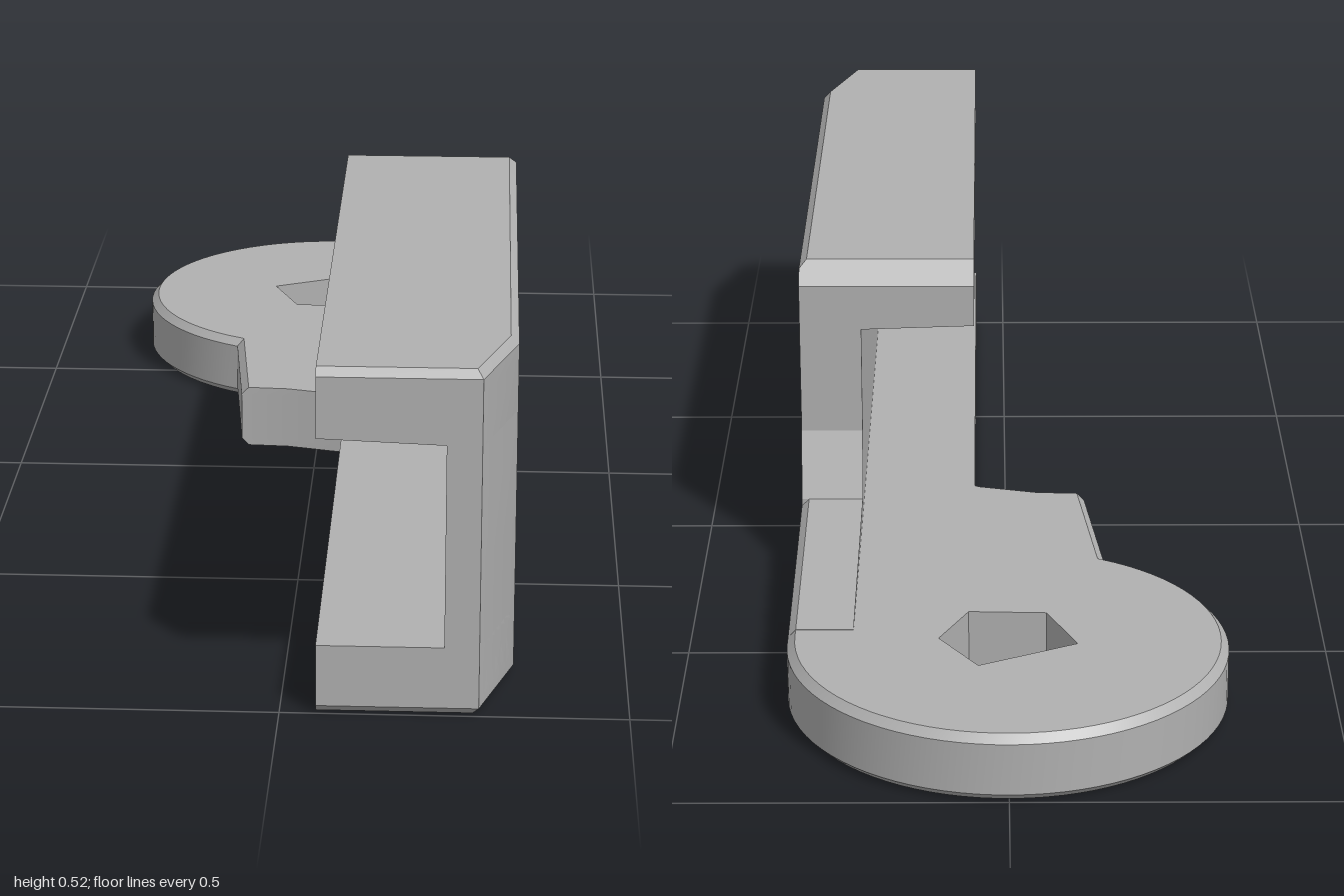
import * as THREE from 'three';
import { toCreasedNormals } from 'three/addons/utils/BufferGeometryUtils.js';

// Solid lofted through rings of [x, y, z] points, counterclockwise seen from above.
// An optional clockwise hole of [x, z] points runs straight through.
function loft(rings, hole = []) {
  const pos = [];
  const tri = (...pts) => pts.forEach((p) => pos.push(...p));
  const sides = (lower, upper) => lower.forEach((a, i) => {
    const j = (i + 1) % lower.length;
    tri(a, lower[j], upper[j]);
    tri(a, upper[j], upper[i]);
  });
  const holeAt = (ring) => hole.map(([x, z]) => [x, ring[0][1], z]);
  const cap = (ring, up) => {
    const flat = (pts) => pts.map(([x, , z]) => new THREE.Vector2(x, -z));
    const inner = holeAt(ring), all = [...ring, ...inner];
    const faces = THREE.ShapeUtils.triangulateShape(flat(ring), hole.length ? [flat(inner)] : []);
    for (const [a, b, c] of faces) {
      if (up) tri(all[a], all[b], all[c]);
      else tri(all[c], all[b], all[a]);
    }
  };
  for (let k = 0; k < rings.length - 1; k++) sides(rings[k], rings[k + 1]);
  const last = rings[rings.length - 1];
  if (hole.length) sides(holeAt(rings[0]), holeAt(last));
  cap(rings[0], false);
  cap(last, true);
  const geo = new THREE.BufferGeometry();
  geo.setAttribute('position', new THREE.Float32BufferAttribute(pos, 3));
  return toCreasedNormals(geo, 0.35);
}

// Moves each edge of an [x, z] outline inwards by its own distance
function inset(outline, dist) {
  const n = outline.length;
  const edges = outline.map(([x, z], i) => {
    const [x2, z2] = outline[(i + 1) % n];
    const dx = x2 - x, dz = z2 - z, len = Math.hypot(dx, dz);
    const nx = dz / len, nz = -dx / len;
    return { nx, nz, c: nx * x + nz * z + dist(i) };
  });
  return outline.map((p, i) => {
    const a = edges[(i + n - 1) % n], b = edges[i];
    const det = a.nx * b.nz - a.nz * b.nx;
    if (Math.abs(det) < 0.02) return [p[0] + b.nx * dist(i), p[1] + b.nz * dist(i)];
    return [(a.c * b.nz - b.c * a.nz) / det, (a.nx * b.c - b.nx * a.c) / det];
  });
}

const atHeight = (outline, y) => outline.map(([x, z]) => [x, y, z]);

export function createModel() {
  const metal = new THREE.MeshStandardMaterial({ color: 0xb0b0b0 });
  metal.name = 'plain grey';
  const group = new THREE.Group();
  group.name = 'bracket';
  const add = (name, geometry) => {
    const mesh = new THREE.Mesh(geometry, metal);
    mesh.name = name;
    group.add(mesh);
  };
  const B = 0.012; // edge bevel
  const L = 0.052, W = 0.235, R = 0.335; // flange edge, inner wall, outer wall

  // Base plate: long flange, round eye and short neck
  const outline = [[L, 1], [0.285, 1], [R, 0.84]];
  const steps = 56;
  for (let i = 0; i <= steps; i++) {
    const t = (i / steps) * THREE.MathUtils.degToRad(242.3);
    outline.push([R * Math.cos(t), -0.665 - R * Math.sin(t)]);
  }
  const neck = outline.length - 1; // edge from the eye to the neck corner
  outline.push([-0.13, -0.11], [-0.05, -0.105], [0.045, -0.08], [L, -0.075]);
  const bottom = inset(outline, (i) => (i <= neck ? B : 0));
  const top = inset(outline, (i) => (i >= 2 && i <= neck ? B : 0));
  const hole = [[0.045, -0.765], [0.105, -0.67], [0.06, -0.575], [-0.06, -0.58], [-0.105, -0.69]];
  add('basePlate', loft([
    atHeight(bottom, 0), atHeight(outline, B),
    atHeight(outline, 0.0925), atHeight(top, 0.105),
  ], hole));

  // Plan of the upright parts, with the outer front corner cut off
  const plan = (x0, back, b = 0) => [
    [x0, 1 - b], [0.285 - b * 0.7, 1 - b], [R - b, 0.84], [R - b, back], [x0, back],
  ];

  // Wall with a stepped rear end
  add('wall', loft([[B, -0.19], [0.13, -0.19], [0.235, -0.15], [0.412, -0.15]]
    .map(([y, back]) => atHeight(plan(W, back), y))));

  // Top flange with a slightly sloping underside and a chamfered rear edge
  const underside = plan(L, -0.15).map(([x, z]) => [
    x, THREE.MathUtils.mapLinear(Math.min(x, W), L, W, 0.417, 0.408), z,
  ]);
  add('topFlange', loft([
    underside,
    atHeight(plan(L, -0.15), 0.485),
    atHeight(plan(L, -0.127), 0.508),
    atHeight(plan(L, -0.115, B), 0.52),
  ]));

  // Shallow ramp running from the eye up to the wall
  const ramp = (x, y0, y1) => [[W, y1, -0.17], [x, y1, -0.17], [x, y0, -0.64], [W, y0, -0.64]];
  add('ramp', loft([
    ramp(R, 0.08, 0.08), ramp(R, 0.0925, 0.119), ramp(R - B, 0.1055, 0.131),
  ]));
  return group;
}
